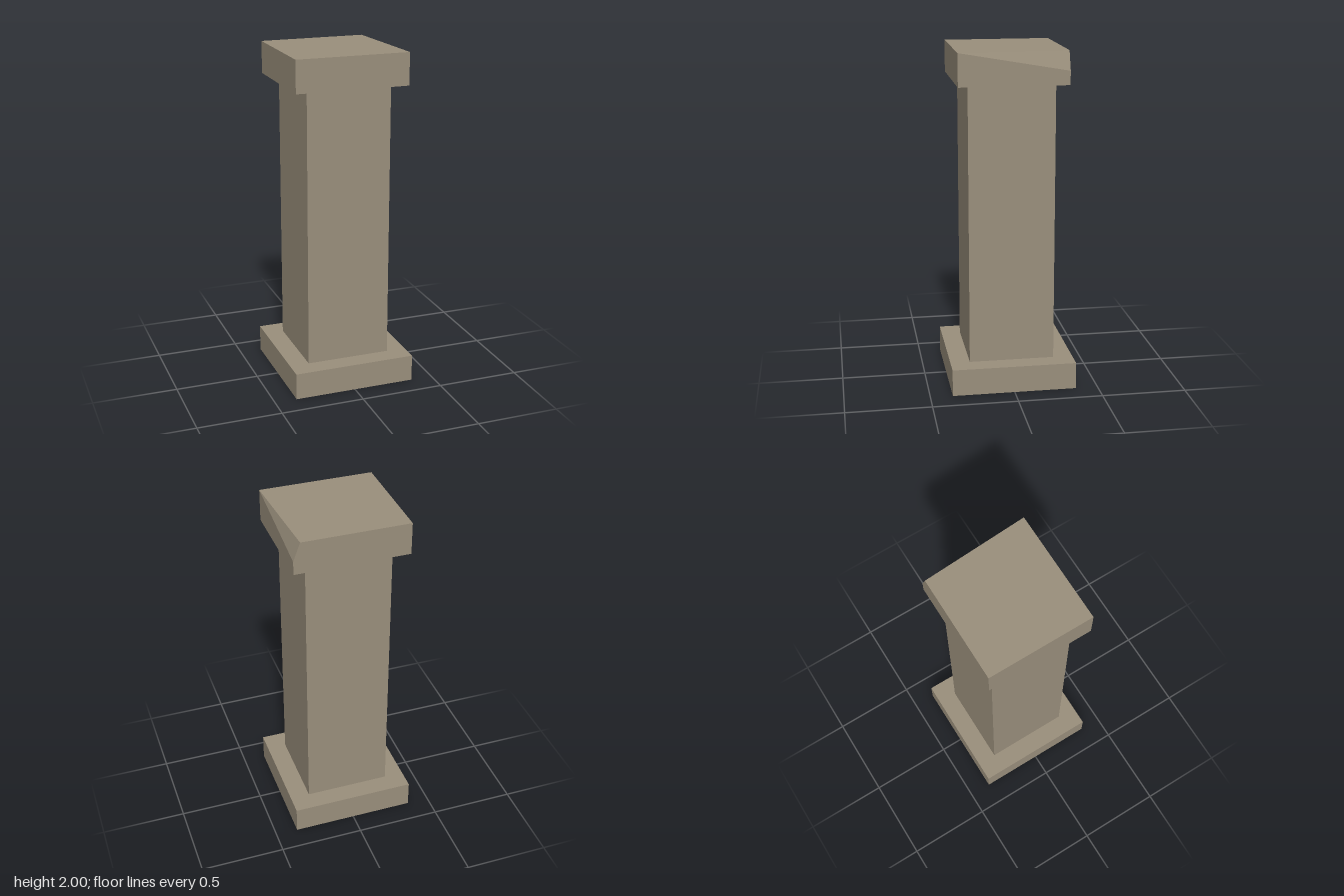
import * as THREE from 'three';
import { ConvexGeometry } from 'three/addons/geometries/ConvexGeometry.js';

export function createModel() {
  const group = new THREE.Group();
  const stone = new THREE.MeshStandardMaterial({ color: 0x9a8f7c, flatShading: true });

  function add(name, geometry, y = 0) {
    const mesh = new THREE.Mesh(geometry, stone);
    mesh.name = name;
    mesh.position.y = y;
    group.add(mesh);
  }

  // Square plinth and shaft
  add('base', new THREE.BoxGeometry(0.736, 0.16, 0.736), 0.08);
  add('shaft', new THREE.BoxGeometry(0.504, 1.65, 0.504), 0.985);

  // Capital block with its back left top corner broken off at a slant
  const x = 0.336, z = 0.316, low = 1.81, high = 2;
  const corners = [];
  for (const sx of [-x, x]) {
    for (const sz of [-z, z]) {
      corners.push(new THREE.Vector3(sx, low, sz));
      if (sx < 0 || sz > 0) corners.push(new THREE.Vector3(sx, high, sz));
    }
  }
  corners.push(new THREE.Vector3(0.296, high, -z), new THREE.Vector3(x, 1.89, -z));
  add('chippedCapital', new ConvexGeometry(corners));

  return group;
}
